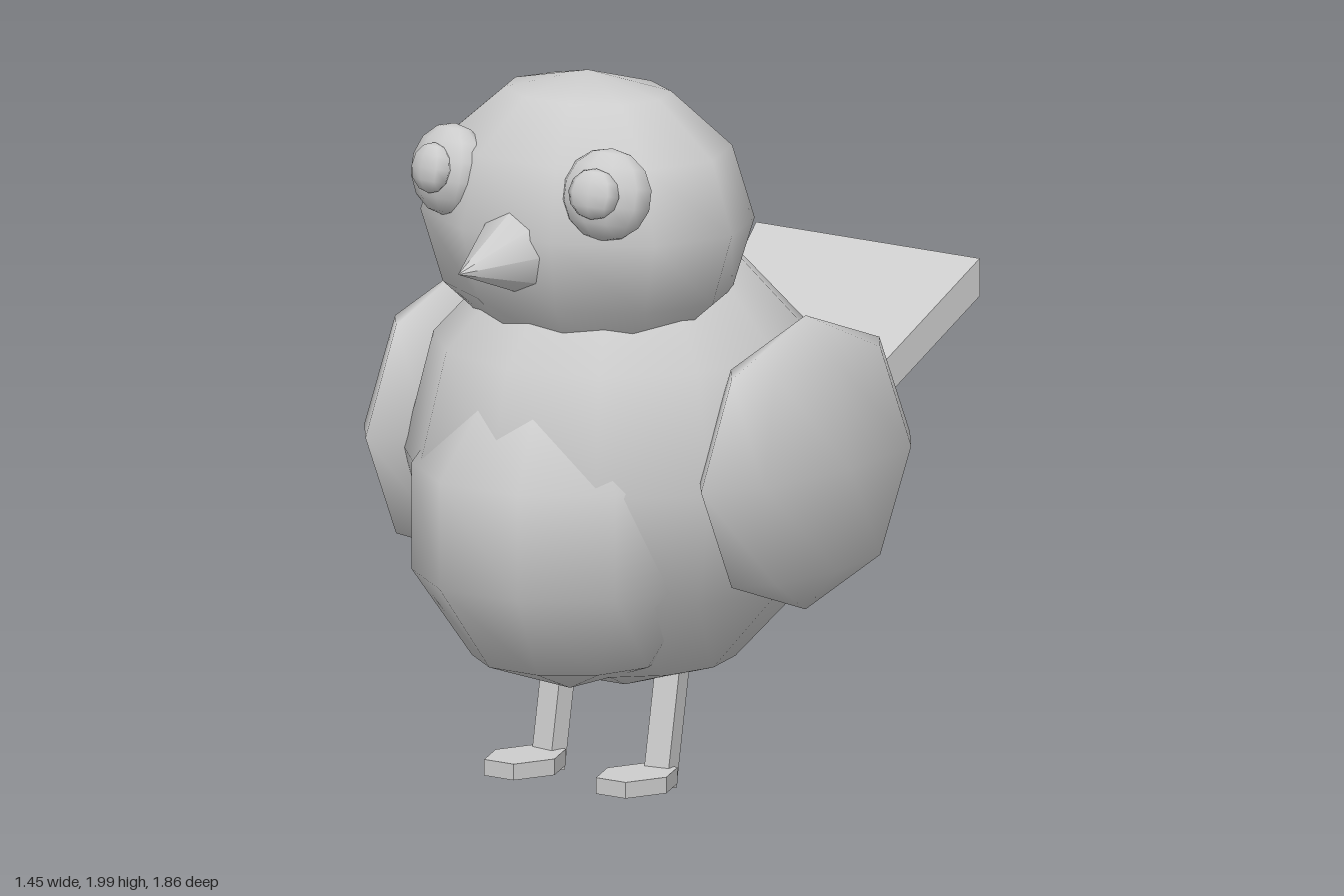
import * as THREE from 'three';

const grey = new THREE.MeshStandardMaterial({ color: 0xcccccc });
grey.name = 'plain grey';

function add(parent, name, geometry, position, rotation = [0, 0, 0]) {
  const mesh = new THREE.Mesh(geometry, grey);
  mesh.name = name;
  mesh.position.set(...position);
  mesh.rotation.set(...rotation);
  parent.add(mesh);
  return mesh;
}

// Low-poly ellipsoid with smooth normals
const ellipsoid = (rx, ry, rz, across, rings) =>
  new THREE.SphereGeometry(1, across, rings).scale(rx, ry, rz);

// Flat fan that widens and rises towards the back
function tailGeometry() {
  const geometry = new THREE.BoxGeometry(1, 0.105, 1);
  const p = geometry.attributes.position;
  for (let i = 0; i < p.count; i++) {
    const t = 0.5 - p.getZ(i);
    p.setXYZ(i,
      Math.sign(p.getX(i)) * (0.258 + 0.122 * t),
      p.getY(i) + 0.843 + 0.4 * t,
      -0.368 - 0.567 * t);
  }
  const flat = geometry.toNonIndexed();
  flat.computeVertexNormals();
  return flat;
}

// Six-sided foot pad with flat faces
function footGeometry() {
  const geometry = new THREE.CylinderGeometry(1, 1, 0.045, 6)
    .rotateY(Math.PI / 6).scale(0.1, 1, 0.137).toNonIndexed();
  geometry.computeVertexNormals();
  return geometry;
}

export function createModel() {
  const bird = new THREE.Group();
  bird.name = 'bird';

  // Trunk and head
  add(bird, 'body', ellipsoid(0.6, 0.65, 0.62, 12, 6), [0, 0.905, 0.17]);
  add(bird, 'belly', ellipsoid(0.45, 0.48, 0.46, 10, 5), [0, 0.77, 0.42]);
  add(bird, 'head', ellipsoid(0.49, 0.4, 0.39, 10, 6), [0, 1.6, 0.34]);

  // Beak, tipped slightly down
  const beak = new THREE.ConeGeometry(0.155, 0.34, 8).rotateX(Math.PI / 2);
  add(bird, 'beak', beak, [0, 1.547, 0.76], [0.08, 0, 0]);

  add(bird, 'tail', tailGeometry(), [0, 0, 0]);

  // Paired parts
  for (const [side, s] of [['left', 1], ['right', -1]]) {
    add(bird, side + 'Wing', ellipsoid(0.153, 0.41, 0.475, 8, 4), [s * 0.57, 0.94, 0.112]);

    add(bird, side + 'Eye', ellipsoid(0.132, 0.127, 0.083, 10, 7),
      [s * 0.267, 1.735, 0.61], [-0.2, s * 0.25, 0]);
    add(bird, side + 'Pupil', ellipsoid(0.075, 0.07, 0.04, 8, 6),
      [s * 0.275, 1.75, 0.68], [-0.2, s * 0.25, 0]);

    // Leg leans back towards the body
    const leg = new THREE.BoxGeometry(0.075, 0.4, 0.058).rotateY(s * 0.15);
    add(bird, side + 'Leg', leg, [s * 0.19, 0.21, 0.232], [-0.18, 0, 0]);
    add(bird, side + 'Foot', footGeometry(), [s * 0.19, 0.048, 0.37]);
  }
  return bird;
}
